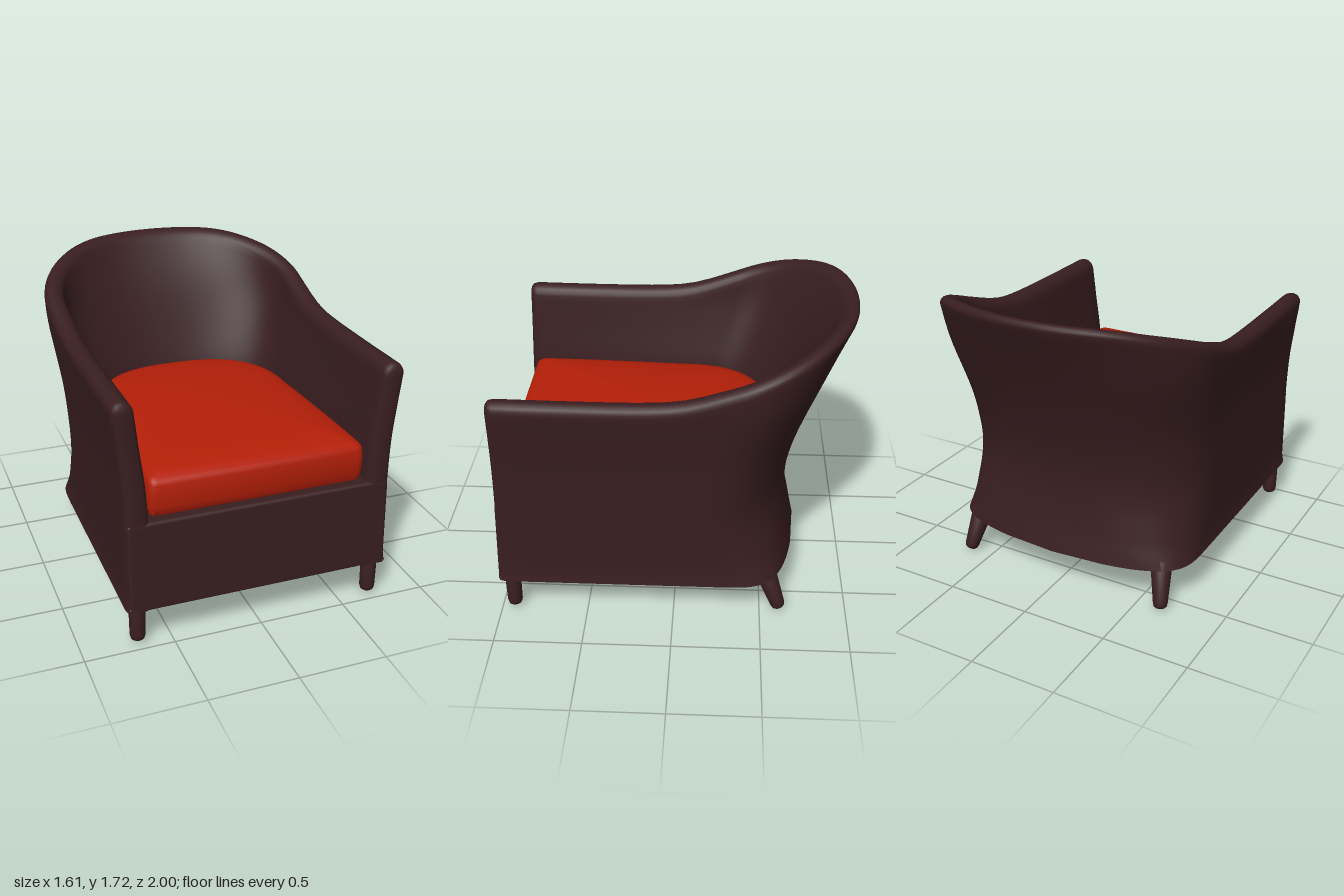
import * as THREE from 'three';
import { toCreasedNormals } from 'three/addons/utils/BufferGeometryUtils.js';
import { RoundedBoxGeometry } from 'three/addons/geometries/RoundedBoxGeometry.js';

// Smooth curve through (key, value) pairs
function curve(pairs) {
  const c = new THREE.CubicInterpolant(pairs.map(p => p[0]), pairs.map(p => p[1]), 1);
  return k => c.evaluate(THREE.MathUtils.clamp(k, pairs[0][0], pairs.at(-1)[0]))[0];
}

// Shell outline by height: half-width, back, front, corner start, roundness, bow of the back, wall
const halfWidth = curve([[0.23, 0.758], [0.28, 0.75], [0.5, 0.747], [0.75, 0.748], [1, 0.758], [1.2, 0.78], [1.4, 0.803], [1.55, 0.808], [1.75, 0.808]]);
const backZ = curve([[0.23, -0.708], [0.4, -0.665], [0.6, -0.642], [0.75, -0.65], [0.9, -0.68], [1.1, -0.745], [1.3, -0.823], [1.5, -0.91], [1.75, -1.032]]);
const frontZ = curve([[0.23, 0.998], [0.75, 0.98], [1.4, 0.967], [1.75, 0.967]]);
const cornerZ = curve([[0.23, -0.08], [0.6, -0.1], [1, -0.2], [1.4, -0.34], [1.75, -0.37]]);
const power = curve([[0.23, 7], [0.32, 4.7], [0.45, 3.3], [0.6, 2.6], [0.9, 2.3], [1.3, 2.2], [1.75, 2.1]]);
const bow = curve([[0.23, 0.135], [0.32, 0.1], [0.45, 0.05], [0.6, 0.015], [0.8, 0], [1.75, 0]]);
const wall = curve([[0.23, 0.13], [0.8, 0.128], [1.1, 0.12], [1.45, 0.12], [1.65, 0.1], [1.75, 0.085]]);
// Extra wall thickness beside the cushion
const padding = curve([[0.23, 0.045], [0.9, 0.045], [1.1, 0.025], [1.35, 0], [1.75, 0]]);
// Rim height by depth
const rimY = curve([[-1, 1.72], [-0.9, 1.708], [-0.7, 1.65], [-0.5, 1.582], [-0.3, 1.51], [-0.1, 1.445], [0, 1.426], [0.15, 1.416], [0.5, 1.414], [1, 1.42]]);

// Point on a U-shaped outline: t 0..1 right arm, 1..2 round the back, 2..3 other arm
function uPoint(t, w, front, corner, back, n) {
  if (t <= 1) return [w, front + (corner - front) * t];
  if (t >= 2) return [-w, corner + (front - corner) * (t - 2)];
  const a = (t - 1) * Math.PI, c = Math.cos(a), s = Math.max(0, Math.sin(a));
  return [w * Math.sign(c) * Math.abs(c) ** (2 / n), corner - (corner - back) * s ** (2 / n)];
}

function shellPoint(t, y, inset, frontTrim = 0) {
  const w = halfWidth(y) - inset, b = bow(y);
  const [x, z] = uPoint(t, w, frontZ(y) - frontTrim, cornerZ(y), backZ(y) + b + inset, power(y));
  return new THREE.Vector3(x, y, z - b * (1 - (x / w) ** 2));
}

// Wall thickness at a station, fullest where the arms meet the back
function thickness(t, y) {
  const u = Math.min(t, 3 - t);
  const k = u < 1 ? u : THREE.MathUtils.smoothstep(1.5 - u, 0, 0.5);
  return wall(y) + padding(y) * k;
}

// Surface through columns of points; quads face outward when columns run
// from +x round the back to -x and each column runs upward on the outside
function loft(cols, closeCols, closeRows, capEnds) {
  const N = cols.length, M = cols[0].length, index = [];
  for (let i = 0; i < (closeCols ? N : N - 1); i++) {
    for (let j = 0; j < (closeRows ? M : M - 1); j++) {
      const a = i * M + j, b = ((i + 1) % N) * M + j;
      const c = i * M + (j + 1) % M, d = ((i + 1) % N) * M + (j + 1) % M;
      index.push(a, b, c, b, d, c);
    }
  }
  if (capEnds) {
    const e = (N - 1) * M;
    for (let j = 0; j < M / 2 - 1; j++) {
      const a = j, b = j + 1, c = M - 1 - j, d = M - 2 - j;
      index.push(a, b, c, b, d, c, e + a, e + c, e + b, e + b, e + c, e + d);
    }
  }
  const g = new THREE.BufferGeometry().setFromPoints(cols.flat());
  g.setIndex(index);
  g.computeVertexNormals();
  return toCreasedNormals(g, 0.8);
}

// Wrap-around arms and back with a rolled rim and rounded arm fronts
function shellGeometry() {
  const ends = [[0, 0.6], [0.012, 0.88], [0.04, 1]]; // [front trim, section scale]
  const stations = ends.slice(0, 2).map(([trim, s]) => [0, trim, s]);
  for (let i = 0; i <= 14; i++) stations.push([i / 14, 0.04, 1]);
  for (let i = 1; i < 64; i++) stations.push([1 + i / 64, 0.04, 1]);
  for (let i = 0; i <= 14; i++) stations.push([2 + i / 14, 0.04, 1]);
  stations.push(...ends.slice(0, 2).reverse().map(([trim, s]) => [3, trim, s]));
  const bottom = 0.232, levels = 32, arc = 9;
  const cols = stations.map(([t, trim, s]) => {
    let top = 1.5;
    for (let k = 0; k < 12; k++) top = rimY(shellPoint(t, top, 0.03, trim).z);
    const r = wall(top) / 2;
    top -= r * (1 - s);
    const spring = top - r * s;
    const at = (y, side) => shellPoint(t, y, thickness(t, y) / 2 * (1 - side * s), trim);
    const col = [];
    for (let j = 0; j < levels; j++) col.push(at(bottom + (spring - bottom) * j / levels, 1));
    for (let j = 0; j <= arc; j++) {
      const a = Math.PI * j / arc;
      col.push(at(spring + r * s * Math.sin(a), Math.cos(a)));
    }
    for (let j = levels - 1; j >= 0; j--) col.push(at(bottom + (spring - bottom) * j / levels, -1));
    return col;
  });
  return loft(cols, false, true, true);
}

// Solid block filling the shell under the cushion
function baseGeometry() {
  const pts = [];
  for (let i = 0; i <= 48; i++) {
    const p = shellPoint(0.9 + 1.2 * i / 48, 0.5, 0.06);
    pts.push(new THREE.Vector2(p.x, -p.z));
  }
  pts.push(new THREE.Vector2(-0.69, -0.93), new THREE.Vector2(0.69, -0.93));
  const g = new THREE.ExtrudeGeometry(new THREE.Shape(pts), { depth: 0.503, bevelEnabled: false });
  return g.rotateX(-Math.PI / 2).translate(0, 0.237, 0);
}

// Domed cushion with a rounded back and soft edges
function cushionGeometry() {
  const outline = [];
  const r = 0.04, front = 0.938;
  for (let i = 0; i <= 3; i++) { // rounded front corner
    const a = Math.PI / 2 * (1 - i / 3);
    outline.push([0.607 - r + r * Math.cos(a), front - r + r * Math.sin(a)]);
  }
  for (let i = 1; i <= 8; i++) outline.push([0.607 - 0.037 * (i / 8) ** 1.5, (front - r) * (1 - i / 8)]);
  for (let i = 1; i <= 18; i++) outline.push(uPoint(1 + i / 36, 0.57, front, 0, -0.548, 2.55));
  const half = outline.slice(0, -1).reverse().map(([x, z]) => [-x, z]);
  const ring = [...outline, ...half];
  const rows = [[0, 0.738], [0.96, 0.738], [0.99, 0.755], [1, 0.8], [1.005, 0.86], [1, 0.925], [0.99, 0.948],
    [0.965, 0.964], [0.9, 0.979], [0.8, 0.993], [0.6, 1.007], [0.35, 1.016], [0.15, 1.02], [0, 1.021]];
  return loft(ring.map(([x, z]) => rows.map(([s, y]) =>
    new THREE.Vector3(x * s, y, 0.2 + (z - 0.2) * s))), true, false, false);
}

// Round leg with a softened foot, running from foot to top
function leg(name, foot, top, rFoot, rTop, material) {
  const dir = top.clone().sub(foot), len = dir.length();
  const profile = [[0, 0], [rFoot * 0.6, 0], [rFoot * 0.88, 0.01], [rFoot, 0.03], [rTop, len], [0, len]];
  const g = new THREE.LatheGeometry(profile.map(p => new THREE.Vector2(...p)), 20);
  const mesh = new THREE.Mesh(g, material);
  mesh.name = name;
  mesh.position.copy(foot);
  mesh.quaternion.setFromUnitVectors(new THREE.Vector3(0, 1, 0), dir.normalize());
  return mesh;
}

export function createModel() {
  const group = new THREE.Group();
  group.name = 'armchair';
  const brown = new THREE.MeshStandardMaterial({ color: 0x391e20 });
  brown.name = 'dark brown';
  const red = new THREE.MeshStandardMaterial({ color: 0xb41f08 });
  red.name = 'red fabric';
  const add = (name, geometry, material) => {
    const mesh = new THREE.Mesh(geometry, material);
    mesh.name = name;
    group.add(mesh);
    return mesh;
  };

  add('armsAndBack', shellGeometry(), brown);
  add('seatBase', baseGeometry(), brown);
  add('cushion', cushionGeometry(), red);

  // Front panel, leaning slightly back
  const panel = add('frontPanel', new RoundedBoxGeometry(1.485, 0.512, 0.12, 3, 0.02), brown);
  panel.position.set(0, 0.49, 0.93);
  panel.rotation.x = -0.034;
  // Thin bead along the bottom of the front
  const bead = add('frontBead', new THREE.CapsuleGeometry(0.012, 1.475, 4, 10), brown);
  bead.rotation.z = Math.PI / 2;
  bead.position.set(0, 0.244, 0.986);

  for (const s of [1, -1]) {
    const side = s > 0 ? 'left' : 'right';
    group.add(leg(side + 'FrontLeg', new THREE.Vector3(0.688 * s, 0.02, 0.927),
      new THREE.Vector3(0.688 * s, 0.27, 0.927), 0.043, 0.046, brown));
    group.add(leg(side + 'BackLeg', new THREE.Vector3(0.648 * s, 0.01, -0.615),
      new THREE.Vector3(0.605 * s, 0.255, -0.522), 0.042, 0.064, brown));
  }
  return group;
}
